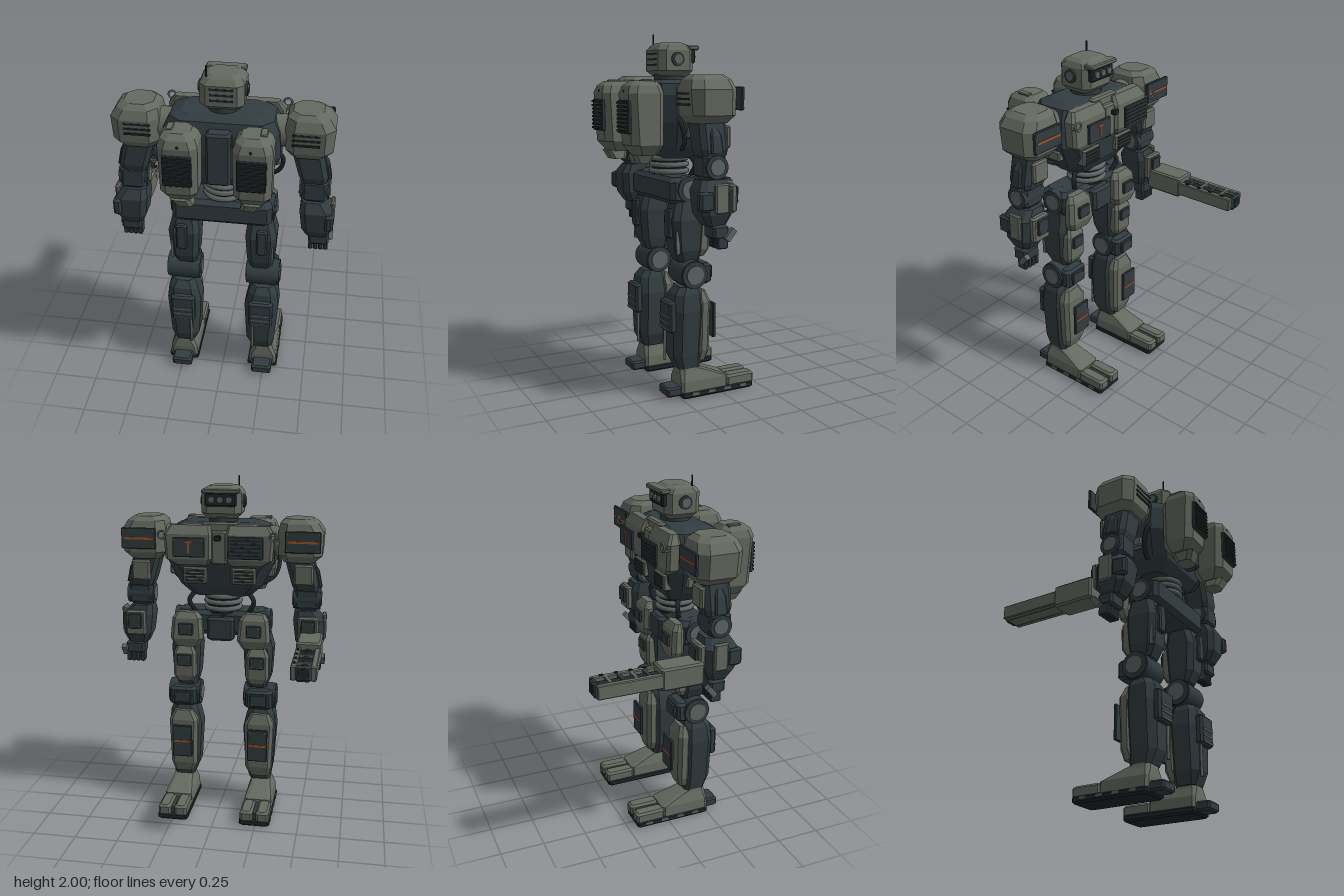
import * as THREE from 'three';

export function createModel() {
  const model = new THREE.Group();
  model.name = 'walkingRobot';
  const paint = (name, color) => {
    const m = new THREE.MeshStandardMaterial({ color });
    m.name = name;
    return m;
  };
  const grey = paint('armourGrey', 0x656a60);
  const dark = paint('frameDark', 0x323c40);
  const black = paint('recessBlack', 0x20272a);
  const steel = paint('jointSteel', 0x5d6664);
  const orange = paint('markingOrange', 0xa8522a);

  function add(name, geo, mat, x = 0, y = 0, z = 0) {
    const m = new THREE.Mesh(geo, mat);
    m.name = name;
    m.position.set(x, y, z);
    model.add(m);
    return m;
  }

  // Stacked eight-sided sections [y, x0, x1, z0, z1, corner]; s mirrors in x
  function loft(name, mat, sections, s = 1) {
    const rings = sections.map(([y, a, b, z0, z1, c]) => {
      const x0 = Math.min(a * s, b * s), x1 = Math.max(a * s, b * s);
      return [[x1, z1 - c], [x1, z0 + c], [x1 - c, z0], [x0 + c, z0],
        [x0, z0 + c], [x0, z1 - c], [x0 + c, z1], [x1 - c, z1]].map(([x, z]) => [x, y, z]);
    });
    const p = [];
    const tri = (a, b, c) => p.push(...a, ...b, ...c);
    for (let k = 0; k < rings.length - 1; k++) {
      const lo = rings[k], hi = rings[k + 1];
      for (let i = 0; i < 8; i++) {
        const j = (i + 1) % 8;
        tri(lo[i], lo[j], hi[j]);
        tri(lo[i], hi[j], hi[i]);
      }
    }
    const first = rings[0], last = rings[rings.length - 1];
    for (let i = 1; i < 7; i++) {
      tri(first[0], first[i + 1], first[i]);
      tri(last[0], last[i], last[i + 1]);
    }
    const g = new THREE.BufferGeometry();
    g.setAttribute('position', new THREE.Float32BufferAttribute(p, 3));
    g.computeVertexNormals();
    return add(name, g, mat);
  }

  // Box given by its limits, with bevelled edges of size c
  function block(name, mat, x0, x1, y0, y1, z0, z1, c = 0.008, s = 1) {
    return loft(name, mat, [
      [y0, x0 + c, x1 - c, z0 + c, z1 - c, c], [y0 + c, x0, x1, z0, z1, c],
      [y1 - c, x0, x1, z0, z1, c], [y1, x0 + c, x1 - c, z0 + c, z1 - c, c]], s);
  }
  function box(name, mat, w, h, d, x, y, z) {
    return add(name, new THREE.BoxGeometry(w, h, d), mat, x, y, z);
  }
  function cyl(name, mat, r, len, axis, x, y, z, sides = 24) {
    const g = new THREE.CylinderGeometry(r, r, len, sides);
    if (axis === 'x') g.rotateZ(Math.PI / 2);
    if (axis === 'z') g.rotateX(Math.PI / 2);
    return add(name, g, mat, x, y, z);
  }
  // Round joint cap facing sideways
  function joint(name, r, x0, x1, y, z, s) {
    cyl(name, dark, r, x1 - x0, 'x', s * (x0 + x1) / 2, y, z);
    cyl(name + 'Cap', steel, r * 0.68, x1 - x0 + 0.012, 'x', s * (x0 + x1) / 2, y, z);
  }
  // Row of dark horizontal slots on a face pointing to z
  function slots(name, x, y, z, w, n, gap, mat = black) {
    for (let i = 0; i < n; i++) box(name, mat, w, 0.011, 0.008, x, y + i * gap, z);
  }
  // Bolted plate facing -z, with an optional orange stripe
  function plate(name, x, y, z, w, h, stripe) {
    block(name, dark, x - w / 2, x + w / 2, y - h / 2, y + h / 2, z - 0.009, z + 0.009, 0.004);
    if (stripe) box(name + 'Stripe', orange, w * 0.85, 0.012, 0.004, x, y, z - 0.01);
    for (const i of [-1, 1]) for (const j of [-1, 1])
      cyl(name + 'Bolt', steel, 0.005, 0.006, 'z', x + i * (w / 2 - 0.013), y + j * (h / 2 - 0.013), z - 0.01, 8);
  }
  function hose(name, mat, pts, r) {
    const curve = new THREE.CatmullRomCurve3(pts.map(p => new THREE.Vector3(...p)));
    add(name, new THREE.TubeGeometry(curve, 20, r, 8), mat);
  }

  // Head
  loft('head', grey, [[1.77, -0.085, 0.085, 0.09, 0.235, 0.02], [1.8, -0.115, 0.115, 0.06, 0.27, 0.035],
    [1.91, -0.115, 0.115, 0.06, 0.27, 0.035], [1.937, -0.1, 0.1, 0.075, 0.25, 0.035], [1.952, -0.075, 0.075, 0.1, 0.225, 0.03]]);
  cyl('neck', dark, 0.085, 0.06, 'y', 0, 1.755, 0.165);
  block('visor', black, -0.09, 0.09, 1.84, 1.915, 0.045, 0.09);
  block('visorHood', grey, -0.105, 0.105, 1.912, 1.938, 0.03, 0.09, 0.006);
  for (const x of [-0.05, 0, 0.05]) cyl('lens', steel, 0.018, 0.012, 'z', x, 1.878, 0.042, 16);
  slots('headSlot', 0, 1.832, 0.268, 0.12, 3, 0.03);
  cyl('antenna', black, 0.005, 0.06, 'y', -0.08, 1.97, 0.225, 8);
  for (const s of [-1, 1]) joint('ear', 0.037, 0.105, 0.125, 1.862, 0.17, s);

  // Torso
  loft('torso', dark, [[1.325, -0.17, 0.17, 0.08, 0.25, 0.04], [1.39, -0.24, 0.24, 0.04, 0.3, 0.06],
    [1.53, -0.31, 0.31, 0.015, 0.325, 0.06], [1.67, -0.3, 0.3, 0.02, 0.33, 0.06],
    [1.73, -0.27, 0.27, 0.035, 0.31, 0.06], [1.752, -0.21, 0.21, 0.07, 0.27, 0.05]]);
  block('spinePanel', dark, -0.065, 0.065, 1.4, 1.7, 0.3, 0.385, 0.012);
  block('collar', grey, -0.1, 0.1, 1.69, 1.755, 0.025, 0.075, 0.01);
  block('sternum', grey, -0.045, 0.045, 1.52, 1.71, -0.005, 0.05, 0.01);
  block('chestSensor', black, -0.02, 0.02, 1.66, 1.69, -0.055, -0.025, 0.005);
  for (const s of [-1, 1]) {
    loft('chestArmour', grey, [[1.515, 0.06, 0.25, 0.0, 0.06, 0.012], [1.55, 0.04, 0.305, -0.018, 0.06, 0.015],
      [1.69, 0.04, 0.315, -0.018, 0.06, 0.015], [1.74, 0.05, 0.28, 0.012, 0.06, 0.012]], s);
    block('abdomenVent', grey, 0.07, 0.21, 1.405, 1.5, 0.005, 0.06, 0.008, s);
    slots('abdomenSlot', s * 0.14, 1.425, 0.004, 0.11, 4, 0.019);
    block('flankVent', grey, 0.25, 0.305, 1.44, 1.5, 0.1, 0.2, 0.008, s);
    hose('sideHose', black, [[s * 0.26, 1.6, 0.27], [s * 0.32, 1.52, 0.25], [s * 0.3, 1.43, 0.22], [s * 0.23, 1.38, 0.2]], 0.012);
    hose('waistHose', black, [[s * 0.15, 1.35, 0.12], [s * 0.19, 1.29, 0.1], [s * 0.16, 1.22, 0.12]], 0.014);
    add('liftingEye', new THREE.TorusGeometry(0.022, 0.006, 8, 20), steel, s * 0.315, 1.69, -0.05);
    cyl('liftingEyeStem', steel, 0.006, 0.05, 'z', s * 0.315, 1.667, -0.03, 8);
  }
  plate('chestPlate', 0.16, 1.625, -0.06, 0.18, 0.11, false);
  box('chestMark', orange, 0.04, 0.01, 0.004, 0.16, 1.655, -0.071);
  box('chestMark', orange, 0.01, 0.06, 0.004, 0.16, 1.625, -0.071);
  block('chestGrille', dark, -0.26, -0.06, 1.565, 1.69, -0.068, -0.052, 0.004);
  slots('chestGrilleSlot', -0.16, 1.585, -0.067, 0.17, 5, 0.021);

  // Backpack pods
  for (const s of [-1, 1]) {
    loft('backpackPod', grey, [[1.355, 0.125, 0.25, 0.35, 0.46, 0.02], [1.41, 0.09, 0.285, 0.32, 0.505, 0.035],
      [1.68, 0.085, 0.288, 0.32, 0.52, 0.035], [1.72, 0.1, 0.275, 0.33, 0.505, 0.035], [1.745, 0.125, 0.25, 0.35, 0.47, 0.03]], s);
    block('podGrille', dark, 0.112, 0.26, 1.47, 1.645, 0.505, 0.525, 0.004, s);
    slots('podGrilleBar', s * 0.186, 1.485, 0.528, 0.14, 8, 0.021, black);
    block('podHatch', grey, 0.217, 0.253, 1.735, 1.752, 0.365, 0.44, 0.004, s);
    cyl('podBolt', black, 0.008, 0.008, 'z', s * 0.18, 1.69, 0.515, 10);
    loft('thruster', grey, [[1.31, 0.12, 0.22, 0.375, 0.46, 0.02], [1.36, 0.135, 0.24, 0.36, 0.485, 0.02]], s);
  }

  // Waist and pelvis
  cyl('waist', black, 0.095, 0.13, 'y', 0, 1.28, 0.17);
  for (const y of [1.245, 1.282, 1.318]) {
    const ring = new THREE.TorusGeometry(0.1, 0.015, 8, 28).rotateX(Math.PI / 2);
    add('waistRing', ring, steel, 0, y, 0.17);
  }
  block('pelvis', dark, -0.275, 0.275, 1.085, 1.23, 0.085, 0.285, 0.025);
  block('pelvisFront', dark, -0.08, 0.08, 1.06, 1.2, 0.04, 0.12, 0.015);

  for (const s of [-1, 1]) {
    // Shoulder
    cyl('shoulderAxle', grey, 0.085, 0.12, 'x', s * 0.3, 1.64, 0.17);
    loft('shoulder', grey, [[1.53, 0.36, 0.53, 0.075, 0.26, 0.03], [1.57, 0.33, 0.575, 0.045, 0.29, 0.045],
      [1.7, 0.325, 0.582, 0.04, 0.3, 0.05], [1.75, 0.335, 0.55, 0.055, 0.28, 0.045], [1.775, 0.36, 0.515, 0.085, 0.25, 0.04]], s);
    slots('shoulderSlot', s * 0.435, 1.625, 0.297, 0.14, 3, 0.028);
    plate('shoulderPlate', s * 0.47, 1.655, 0.024, 0.2, 0.12, true);

    // Arm
    loft('upperArm', dark, [[1.365, 0.42, 0.555, 0.1, 0.235, 0.02], [1.4, 0.405, 0.56, 0.09, 0.245, 0.025],
      [1.56, 0.36, 0.525, 0.09, 0.245, 0.025]], s);
    block('upperArmPlate', grey, 0.42, 0.53, 1.4, 1.52, 0.068, 0.1, 0.01, s);
    loft('upperArmFin', dark, [[1.38, 0.54, 0.578, 0.135, 0.205, 0.008], [1.47, 0.53, 0.56, 0.14, 0.2, 0.008],
      [1.51, 0.52, 0.535, 0.155, 0.185, 0.004]], s);
    block('elbow', dark, 0.42, 0.565, 1.245, 1.38, 0.11, 0.24, 0.02, s);
    joint('elbowJoint', 0.062, 0.415, 0.572, 1.31, 0.17, s);
    loft('forearm', dark, [[1.01, 0.46, 0.575, 0.115, 0.22, 0.02], [1.07, 0.435, 0.6, 0.085, 0.26, 0.03],
      [1.19, 0.42, 0.595, 0.08, 0.27, 0.03], [1.245, 0.425, 0.55, 0.1, 0.24, 0.025]], s);
    block('forearmSidePlate', grey, 0.585, 0.61, 1.075, 1.23, 0.12, 0.2, 0.008, s);
    block('forearmVent', dark, 0.56, 0.605, 1.09, 1.19, 0.2, 0.285, 0.012, s);
    block('forearmFrontPlate', grey, 0.45, 0.57, 1.07, 1.22, 0.05, 0.09, 0.01, s);
    plate('forearmHatch', s * 0.51, 1.16, 0.043, 0.08, 0.09, false);

    // Hand
    block('palm', dark, 0.475, 0.59, 0.94, 1.015, 0.11, 0.2, 0.012, s);
    for (let i = 0; i < 4; i++) {
      block('finger', dark, 0.478 + i * 0.028, 0.503 + i * 0.028, 0.89, 0.955, 0.115, 0.175, 0.005, s);
    }
    const thumb = box('thumb', steel, 0.03, 0.07, 0.03, s * 0.595, 0.965, 0.11);
    thumb.rotation.x = -0.7;

    // Hip and thigh
    joint('hipJoint', 0.07, 0.2, 0.285, 1.165, 0.18, s);
    loft('hipSkirt', grey, [[1.02, 0.13, 0.27, 0.04, 0.1, 0.015], [1.07, 0.1, 0.295, 0.025, 0.1, 0.02],
      [1.19, 0.11, 0.285, 0.035, 0.1, 0.02], [1.225, 0.14, 0.26, 0.06, 0.1, 0.015]], s);
    plate('hipPlate', s * 0.2, 1.13, 0.022, 0.085, 0.07, false);
    loft('thigh', dark, [[0.765, 0.155, 0.27, 0.11, 0.23, 0.02], [0.83, 0.14, 0.295, 0.095, 0.265, 0.03],
      [1.0, 0.13, 0.305, 0.09, 0.28, 0.03], [1.1, 0.14, 0.28, 0.1, 0.25, 0.03]], s);
    loft('thighArmour', grey, [[0.79, 0.17, 0.265, 0.08, 0.13, 0.012], [0.83, 0.15, 0.285, 0.06, 0.13, 0.015],
      [0.97, 0.15, 0.285, 0.06, 0.13, 0.015], [1.01, 0.17, 0.265, 0.08, 0.13, 0.012]], s);
    plate('thighPlate', s * 0.217, 0.93, 0.055, 0.085, 0.07, false);
    block('thighRearPlate', dark, 0.195, 0.255, 0.9, 1.06, 0.26, 0.295, 0.008, s);
    box('thighStrip', grey, 0.012, 0.13, 0.02, s * 0.285, 0.88, 0.255);

    // Knee
    cyl('knee', dark, 0.078, 0.17, 'x', s * 0.23, 0.7, 0.17);
    joint('kneeJoint', 0.075, 0.135, 0.325, 0.7, 0.17, s);
    block('kneeCap', dark, 0.15, 0.31, 0.64, 0.755, 0.055, 0.14, 0.015, s);
    plate('kneePlate', s * 0.23, 0.7, 0.05, 0.1, 0.07, false);

    // Shin
    loft('shin', dark, [[0.165, 0.175, 0.3, 0.12, 0.245, 0.02], [0.24, 0.145, 0.312, 0.11, 0.28, 0.035],
      [0.5, 0.13, 0.33, 0.1, 0.285, 0.04], [0.59, 0.15, 0.32, 0.105, 0.27, 0.035], [0.63, 0.17, 0.3, 0.12, 0.24, 0.03]], s);
    loft('shinArmour', grey, [[0.2, 0.18, 0.29, 0.085, 0.14, 0.012], [0.26, 0.15, 0.31, 0.068, 0.14, 0.02],
      [0.54, 0.145, 0.32, 0.065, 0.14, 0.02], [0.6, 0.18, 0.29, 0.085, 0.14, 0.015]], s);
    plate('shinPlate', s * 0.23, 0.42, 0.032, 0.12, 0.2, true);
    block('calfPack', dark, 0.16, 0.3, 0.38, 0.555, 0.265, 0.312, 0.012, s);
    slots('calfSlot', s * 0.23, 0.4, 0.312, 0.11, 3, 0.035, steel);
    cyl('calfPiston', grey, 0.008, 0.18, 'y', s * 0.185, 0.29, 0.29, 10);

    // Foot
    block('sole', black, 0.155, 0.335, 0.004, 0.045, -0.2, 0.25, 0.01, s);
    loft('foot', grey, [[0.035, 0.16, 0.33, -0.04, 0.25, 0.015], [0.1, 0.165, 0.325, -0.04, 0.25, 0.015],
      [0.15, 0.185, 0.305, 0.08, 0.245, 0.02], [0.178, 0.19, 0.298, 0.16, 0.24, 0.02]], s);
    block('innerToe', grey, 0.16, 0.235, 0.03, 0.097, -0.205, -0.03, 0.012, s);
    block('outerToe', grey, 0.255, 0.33, 0.03, 0.097, -0.205, -0.03, 0.012, s);
    block('toeGap', dark, 0.23, 0.26, 0.03, 0.08, -0.185, -0.03, 0.006, s);
    block('heel', dark, 0.185, 0.305, 0.018, 0.072, 0.23, 0.33, 0.01, s);
    for (let i = 0; i < 4; i++) box('soleBolt', steel, 0.006, 0.016, 0.04, s * 0.335, 0.03, -0.13 + i * 0.1);
  }

  // Forearm gun
  block('gunBody', grey, -0.598, -0.462, 1.01, 1.135, -0.17, 0.07, 0.01);
  for (const x of [-0.582, -0.478]) block('gunRail', grey, x - 0.016, x + 0.016, 1.03, 1.108, -0.52, -0.16, 0.005);
  block('gunFloor', grey, -0.57, -0.49, 1.03, 1.045, -0.515, -0.16, 0.004);
  cyl('gunBarrel', black, 0.03, 0.37, 'z', -0.53, 1.072, -0.348, 16);
  for (let i = 0; i < 4; i++) {
    box('gunBand', i % 2 ? steel : dark, 0.08, 0.062, 0.018, -0.53, 1.078, -0.23 - i * 0.07);
    box('gunRailBolt', black, 0.012, 0.01, 0.02, -0.478, 1.11, -0.22 - i * 0.08);
  }
  block('gunMuzzle', dark, -0.572, -0.488, 1.028, 1.115, -0.532, -0.5, 0.012);
  cyl('gunBore', black, 0.026, 0.006, 'z', -0.53, 1.072, -0.532, 16);

  return model;
}
